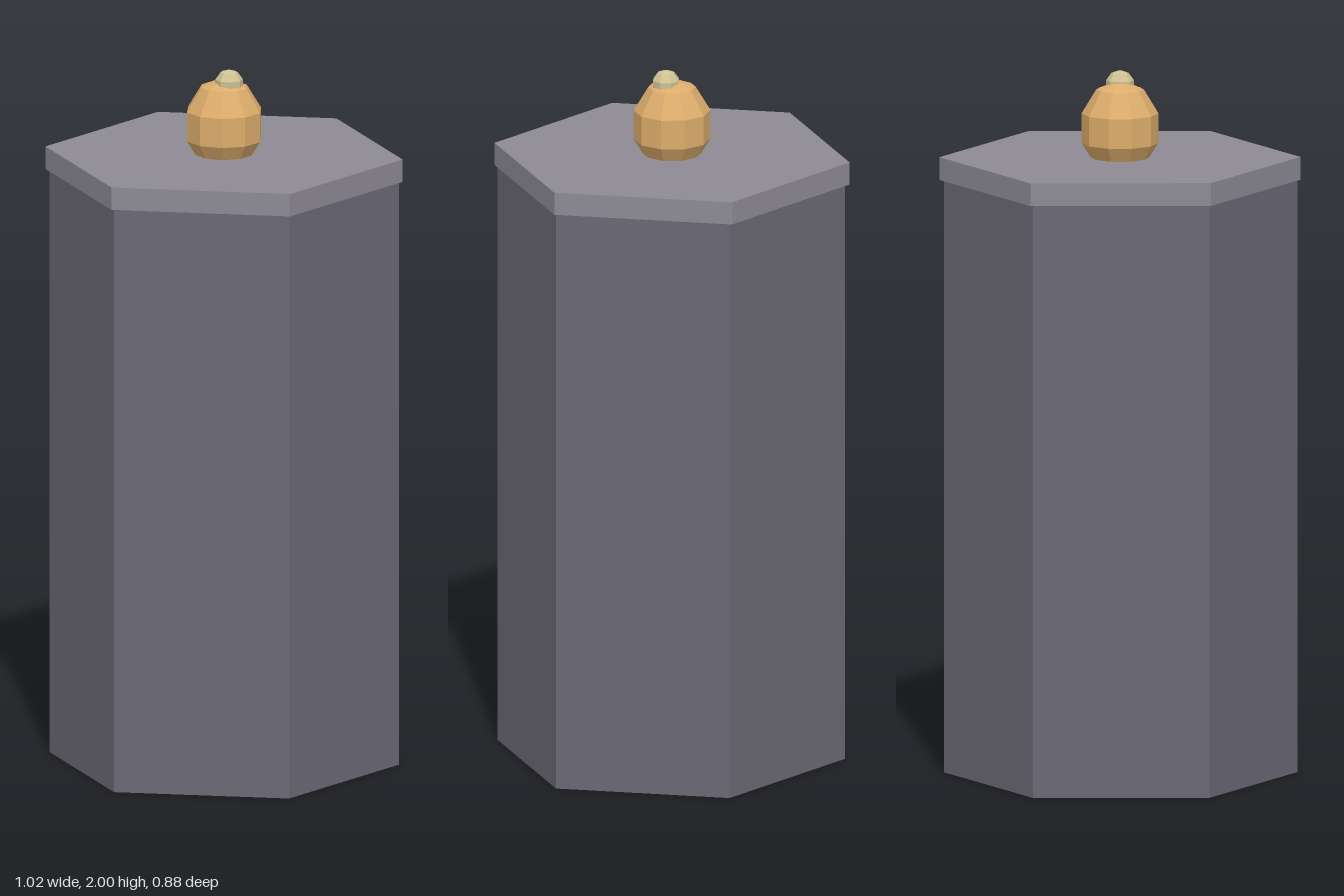
import * as THREE from 'three';

function part(name, geometry, color, x, y, z) {
  const material = new THREE.MeshStandardMaterial({ color, flatShading: true });
  const mesh = new THREE.Mesh(geometry, material);
  mesh.name = name;
  mesh.position.set(x, y, z);
  return mesh;
}

// Hexagonal prism with corners on the x axis
function hexPrism(radius, height) {
  return new THREE.CylinderGeometry(radius, radius, height, 6).rotateY(Math.PI / 6);
}

export function createModel() {
  const group = new THREE.Group();
  group.name = 'hexagonalPillar';

  const bodyTop = 1.69, lidTop = 1.755;

  // Tall column and the slightly wider slab on top
  group.add(part('column', hexPrism(0.497, bodyTop), 0x6b6975, -0.002, bodyTop / 2, 0.002));
  group.add(part('capSlab', hexPrism(0.508, lidTop - bodyTop), 0x8d8a95, 0, (bodyTop + lidTop) / 2, 0));

  // Faceted ball partly sunk into the slab
  const ball = new THREE.SphereGeometry(0.1136, 10, 5).scale(1, 1.2, 1);
  group.add(part('finialBall', ball, 0xdcac6b, 0, 1.838, 0));

  // Small off-centre knob on the ball
  const knob = new THREE.SphereGeometry(0.041, 8, 5);
  group.add(part('finialKnob', knob, 0xcfc192, 0, 1.959, 0.018));

  return group;
}
